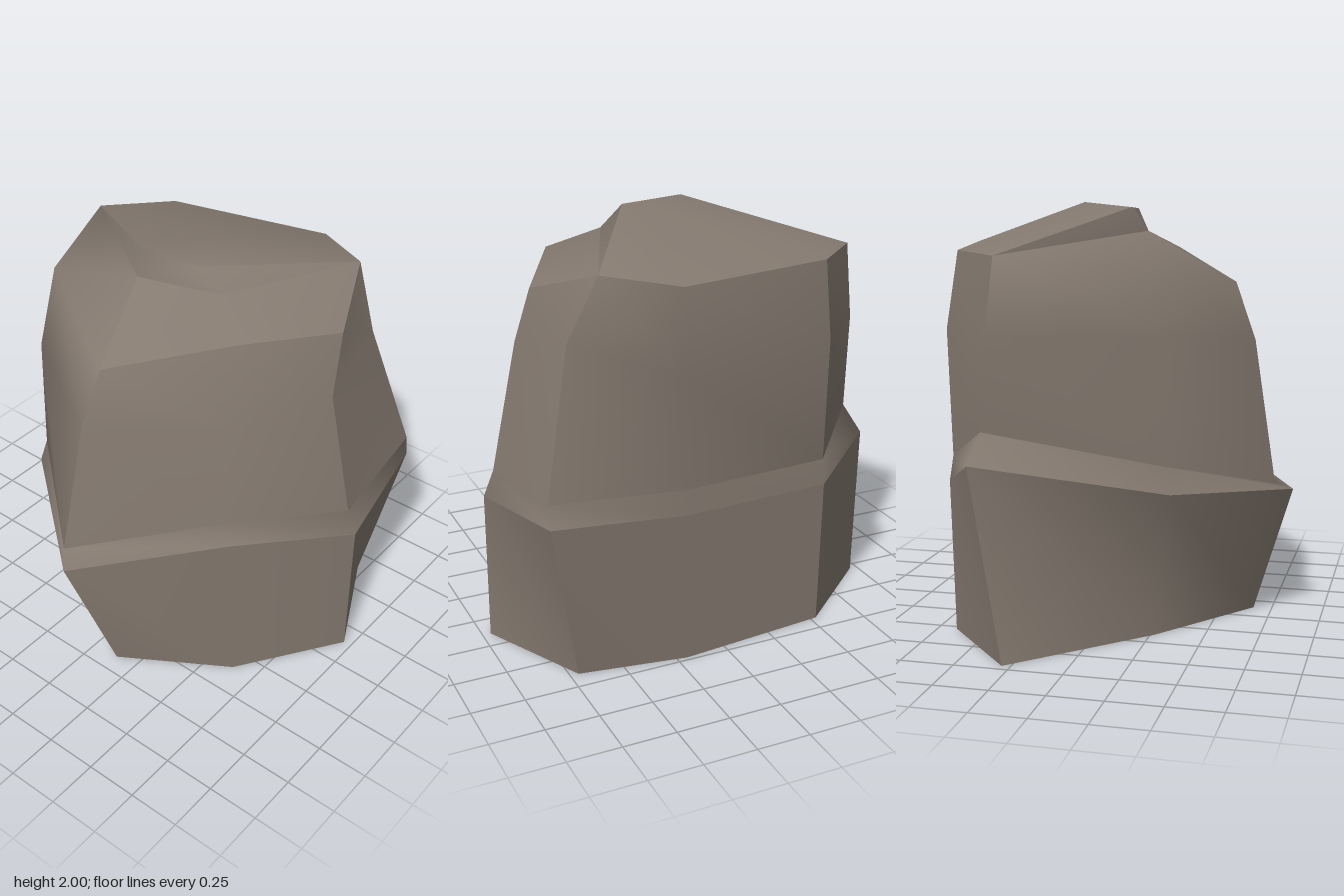
import * as THREE from 'three';

// Eight-cornered cross-sections, counterclockwise from the front: [x, y, z]
const base = [[.14, 0, .96], [.65, 0, .71], [.73, 0, .2], [.66, 0, -.53],
  [.29, 0, -.96], [-.27, 0, -.39], [-.66, 0, .14], [-.35, 0, .63]];
const ledgeOuter = [[.14, .72, .96], [.75, .79, .86], [.72, .72, .2], [.68, .72, -.53],
  [.48, .86, -.85], [-.38, .72, -.59], [-.86, .645, .01], [-.37, .8, .61]];
const ledgeInner = [[.14, .84, .91], [.73, .9, .86], [.71, .84, .2], [.66, .84, -.53],
  [.44, 1, -.77], [-.36, .84, -.56], [-.78, .69, -.06], [-.37, .92, .58]];
const waist = [[.13, 1.44, .78], [.57, 1.54, .7], [.86, 1.43, .29], [.68, 1.43, -.53],
  [.4, 1.43, -.81], [-.36, 1.42, -.55], [-.67, 1.36, -.01], [-.34, 1.4, .54]];
const rim = [[.24, 1.71, .74], [.62, 1.84, .57], [.8, 1.8, .26], [.62, 1.79, -.53],
  [.36, 1.78, -.8], [-.31, 1.84, -.48], [-.57, 1.63, .02], [-.2, 1.77, .5]];

// Small step on the crown and the peak
const stepLow = [[-.17, 1.87, -.1], [-.06, 1.87, .28]];
const stepHigh = [[-.1, 1.98, -.15], [-.06, 1.97, .17]];
const peak = [.2, 2, .12];

// Sides of the rock, each smooth in itself: first column and number of columns
const sides = [['front', 0, 1], ['left', 1, 2], ['backLeft', 3, 1], ['back', 4, 2], ['right', 6, 2]];

// One smooth surface; faces that share a corner share its normal
function smoothMesh(name, faces, material) {
  const corners = [...new Set(faces.flat())];
  const index = [];
  for (const f of faces)
    for (let i = 1; i < f.length - 1; i++)
      index.push(...[f[0], f[i], f[i + 1]].map((p) => corners.indexOf(p)));
  const g = new THREE.BufferGeometry();
  g.setAttribute('position', new THREE.Float32BufferAttribute(corners.flat(), 3));
  g.setIndex(index);
  g.computeVertexNormals();
  const mesh = new THREE.Mesh(g, material);
  mesh.name = name;
  return mesh;
}

// Quads joining neighbouring cross-sections over some columns
function skin(rings, first, count) {
  const faces = [];
  for (let r = 0; r < rings.length - 1; r++)
    for (let i = first; i < first + count; i++) {
      const j = (i + 1) % 8;
      faces.push([rings[r][j], rings[r + 1][j], rings[r + 1][i], rings[r][i]]);
    }
  return faces;
}

export function createModel() {
  const stone = new THREE.MeshStandardMaterial({ color: 0x857a70 });
  stone.name = 'brown grey stone';
  const rock = new THREE.Group();
  rock.name = 'rock';
  const add = (name, faces) => rock.add(smoothMesh(name, faces, stone));

  const [t1, t2, t3, t4, t5, t6, t7, t8] = rim;
  const [c, d] = stepLow;
  const [a, b] = stepHigh;

  // Foot, ledge and upper walls; the back wall rolls over onto the crown
  add('underside', [[...base].reverse()]);
  add('ledge', skin([ledgeOuter, ledgeInner], 0, 8));
  for (const [side, first, count] of sides) {
    add(side + 'Foot', skin([base, ledgeOuter], first, count));
    const wall = skin([ledgeInner, waist, rim], first, count);
    if (side === 'back') wall.push([t5, t6, c], [t6, t7, c]);
    add(side + 'Wall', wall);
  }

  // Crown: sloping shoulder, step and plateau
  add('shoulder', [[d, t8, t1], [d, t1, t2], [t7, t8, d, c]]);
  add('step', [[c, d, b, a], [d, t2, b], [t5, c, a]]);
  const edge = [t2, t3, t4, t5, a, b];
  add('plateau', edge.map((p, i) => [peak, p, edge[(i + 1) % edge.length]]));
  return rock;
}
